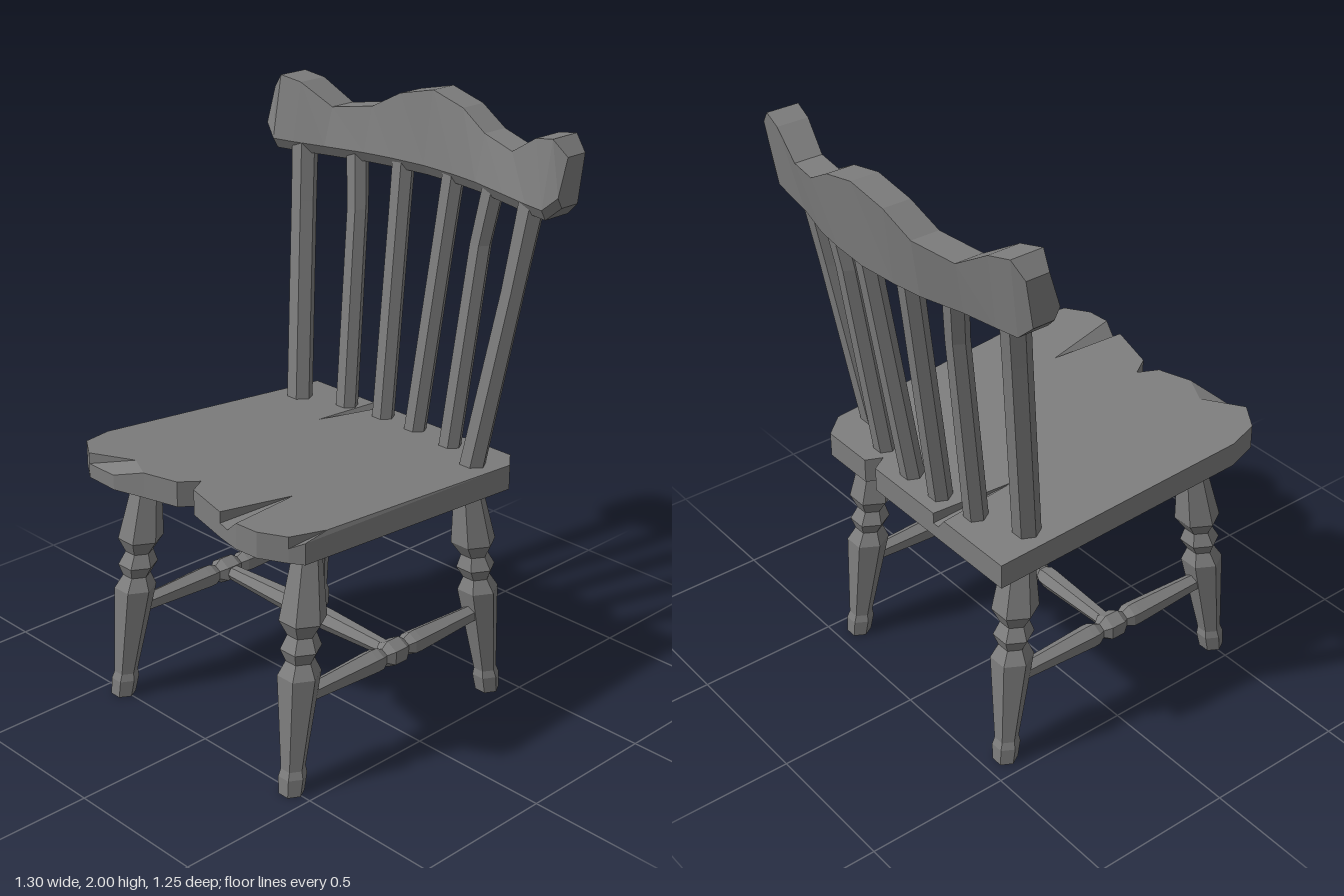
import * as THREE from 'three';

const material = new THREE.MeshStandardMaterial({ color: 0x7d7d7d, flatShading: true, side: THREE.DoubleSide });
const V = (x, y, z) => new THREE.Vector3(x, y, z);

// The two cross-section directions for a part running along each axis (u x v = axis)
const PLANES = { x: ['y', 'z'], y: ['z', 'x'], z: ['x', 'y'] };

// Skin a list of rings running along an axis, and close both ends
function loft(name, rings, axis) {
  const [u, v] = PLANES[axis];
  const pos = [];
  const tri = (...pts) => pts.forEach((p) => pos.push(p.x, p.y, p.z));
  for (let k = 0; k < rings.length - 1; k++) {
    const r0 = rings[k], r1 = rings[k + 1], n = r0.length;
    for (let i = 0; i < n; i++) {
      const j = (i + 1) % n;
      tri(r0[i], r0[j], r1[j]);
      tri(r0[i], r1[j], r1[i]);
    }
  }
  const cap = (ring, facing) => {
    const flat = ring.map((p) => new THREE.Vector2(p[u], p[v]));
    for (const [a, b, c] of THREE.ShapeUtils.triangulateShape(flat, [])) {
      const area = THREE.ShapeUtils.area([flat[a], flat[b], flat[c]]);
      if (area * facing > 0) tri(ring[a], ring[b], ring[c]);
      else tri(ring[a], ring[c], ring[b]);
    }
  };
  cap(rings[0], -1);
  cap(rings[rings.length - 1], 1);
  const geo = new THREE.BufferGeometry();
  geo.setAttribute('position', new THREE.Float32BufferAttribute(pos, 3));
  geo.computeVertexNormals();
  const mesh = new THREE.Mesh(geo, material);
  mesh.name = name;
  return mesh;
}

// Faceted turned part from a to b; profile entries are [t, radius, sideways shift]
function turned(name, a, b, axis, profile, sides = 6) {
  const [u, v] = PLANES[axis];
  const rings = profile.map(([t, r, shift = 0]) => {
    const c = a.clone().lerp(b, t);
    c.x += shift;
    return Array.from({ length: sides }, (_, i) => {
      const ang = ((i + 0.5) / sides) * Math.PI * 2;
      const p = c.clone();
      p[u] += Math.cos(ang) * r;
      p[v] += Math.sin(ang) * r;
      return p;
    });
  });
  return loft(name, rings, axis);
}

// Sloping seat board; where a crack or chip opens, a second position and a depth follow
function makeSeat() {
  const outline = [
    [-0.49, -0.483], [-0.52, 0.45], [-0.49, 0.56], [-0.4, 0.62],
    [-0.26, 0.54, -0.27, 0.625, 0.035],                // front chip
    [-0.16, 0.59], [-0.04, 0.555], [0, 0.49], [0.04, 0.555], [0.22, 0.605],
    [0.26, 0.34, 0.265, 0.615, 0.042],                 // front crack
    [0.315, 0.625], [0.4, 0.62], [0.485, 0.57],
    [0.515, 0.44, 0.525, 0.54, 0.015],                 // worn corner
    [0.492, -0.41], [0.43, -0.483],                    // cut back corner
    [0.23, -0.483], [0.2, -0.43], [0.17, -0.483], [-0.145, -0.483],
    [-0.19, -0.2, -0.17, -0.483, 0.038],               // back crack
    [-0.2, -0.483],
  ];
  const top = (z) => 0.895 + 0.072 * z;
  const lower = (dropOf) => outline.map(([x, z, lx = x, lz = z, depth = 0.038]) =>
    V(lx, top(lz) - dropOf(depth), lz));
  return loft('seat', [
    lower(() => 0.086),
    lower((depth) => depth),
    outline.map(([x, z]) => V(x, top(z), z)),
  ], 'y');
}

// Curved, scalloped top rail
function makeCrestRail() {
  // x, top height, front z, back z, bottom height
  const half = [
    [0, 2.0, -0.495, -0.63, 1.72],
    [0.14, 1.967, -0.485, -0.62, 1.72],
    [0.25, 1.907, -0.468, -0.605, 1.72],
    [0.4, 1.885, -0.428, -0.565, 1.72],
    [0.52, 1.955, -0.395, -0.545, 1.72],
    [0.6, 1.97, -0.378, -0.53, 1.72],
    [0.648, 1.92, -0.395, -0.515, 1.765],
  ];
  const mirrored = half.slice(1).reverse().map(([x, ...rest]) => [-x, ...rest]);
  const rings = [...mirrored, ...half].map(([x, t, f, b, low]) => [
    V(x, t, b), V(x, t, f - 0.038), V(x, low + 0.035, f), V(x, low, f - 0.02), V(x, low, b + 0.025),
  ]);
  return loft('crestRail', rings, 'x');
}

export function createModel() {
  const chair = new THREE.Group();
  chair.name = 'chair';
  chair.add(makeSeat(), makeCrestRail());

  // Turned legs, splayed outwards
  const H = 0.85;
  const legProfile = [
    [0, 0.042], [0.06, 0.047], [0.085, 0.04], [0.4, 0.071], [0.445, 0.047],
    [0.485, 0.067], [0.53, 0.047], [0.58, 0.077], [H, 0.039],
  ].map(([y, r]) => [y / H, r]);
  // Stretchers with a bead in the middle
  const stretcherProfile = [
    [0, 0.028], [0.38, 0.042], [0.41, 0.041], [0.44, 0.028], [0.47, 0.047],
    [0.53, 0.047], [0.56, 0.028], [0.59, 0.041], [0.62, 0.042], [1, 0.028],
  ];
  for (const s of [-1, 1]) {
    const side = s > 0 ? 'Left' : 'Right';
    chair.add(
      turned('frontLeg' + side, V(s * 0.422, 0, 0.505), V(s * 0.38, H, 0.39), 'y', legProfile),
      turned('backLeg' + side, V(s * 0.422, 0, -0.42), V(s * 0.38, H, -0.322), 'y', legProfile),
      turned('sideStretcher' + side, V(s * 0.408, 0.315, -0.38), V(s * 0.408, 0.315, 0.46), 'z', stretcherProfile),
    );
  }
  chair.add(turned('crossStretcher', V(-0.408, 0.313, 0.04), V(0.408, 0.313, 0.04), 'x',
    stretcherProfile.map(([t, r]) => [t, r * 0.9])));

  // Back spindles: base x, base z, top x, top z, thickness, then a bend or worn spot [t, radius, shift]
  const spindles = [
    [-0.405, -0.315, -0.51, -0.445, 0.046, [0.78, 0.045, 0]],
    [-0.24, -0.385, -0.31, -0.5, 0.04, [0.78, 0.038, 0.012]],
    [-0.083, -0.405, -0.122, -0.53, 0.04, [0.78, 0.039, 0]],
    [0.067, -0.405, 0.105, -0.53, 0.04, [0.78, 0.039, 0]],
    [0.245, -0.385, 0.305, -0.5, 0.04, [0.78, 0.038, -0.015]],
    [0.405, -0.315, 0.51, -0.445, 0.046, [0.68, 0.041, 0.004]],
  ];
  spindles.forEach(([bx, bz, tx, tz, r, bend], i) => {
    chair.add(turned('backSpindle' + (i + 1), V(bx, 0.84, bz), V(tx, 1.76, tz), 'y',
      [[0, r], bend, [1, r]]));
  });
  return chair;
}
